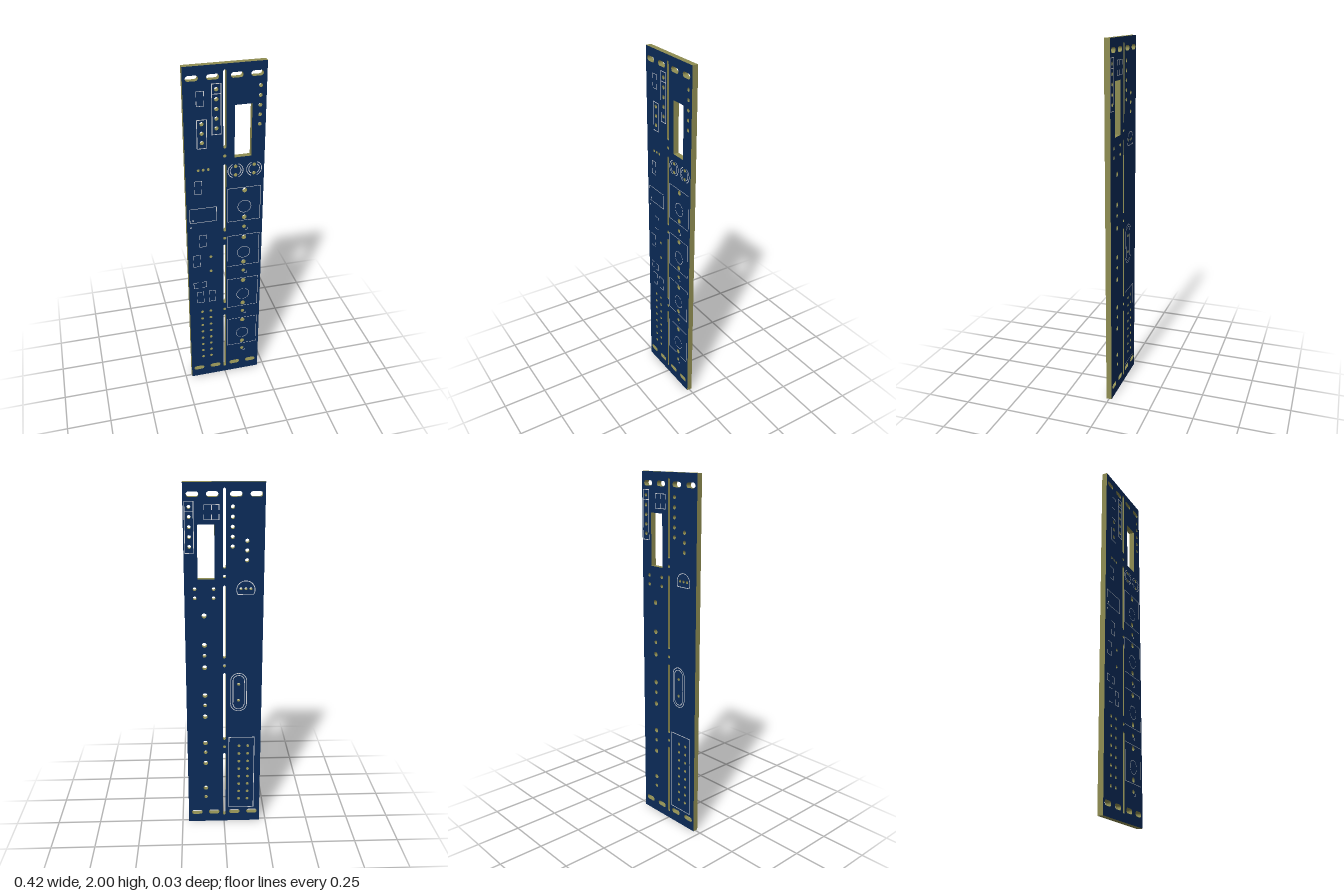
import * as THREE from 'three';
import { mergeGeometries } from 'three/addons/utils/BufferGeometryUtils.js';

const W = 0.424, H = 2, T = 0.031;
const row = (n, start, step) => Array.from({ length: n }, (_, i) => start + i * step);

// Point lists for printed outlines
const rect = (x0, y0, x1, y1) => [[x0, y0], [x1, y0], [x1, y1], [x0, y1], [x0, y0]];
const arc = (x, y, r, a0 = 0, a1 = 360, n = 32) => Array.from({ length: n + 1 }, (_, i) => {
  const a = THREE.MathUtils.degToRad(a0 + (a1 - a0) * i / n);
  return [x + r * Math.cos(a), y + r * Math.sin(a)];
});
const stadium = (x, y, r, half) => [
  ...arc(x, y + half, r, 0, 180, 16), ...arc(x, y - half, r, 180, 360, 16), [x + r, y + half]];

// Board outline with all cutouts
function boardShape() {
  const s = new THREE.Shape(rect(-W / 2, 0, W / 2, H).slice(0, 4).map(p => new THREE.Vector2(...p)));
  const hole = (x, y, r) => s.holes.push(new THREE.Path().absarc(x, y, r, 0, Math.PI * 2, true));
  const slot = (x0, y0, x1, y1, r) => {
    // rounded slot between two end centres
    const a = Math.atan2(y1 - y0, x1 - x0), p = new THREE.Path();
    p.absarc(x1, y1, r, a - Math.PI / 2, a + Math.PI / 2, false);
    p.absarc(x0, y0, r, a + Math.PI / 2, a + Math.PI * 1.5, false);
    p.closePath();
    s.holes.push(p);
  };
  // mounting slots
  for (const y of [0.065, 1.94])
    for (const x of [-0.166, -0.062, 0.06, 0.162]) slot(x - 0.018, y, x + 0.018, y, 0.014);
  // break-away line
  for (const [a, b] of [[0.05, 0.455], [0.558, 0.958], [1.062, 1.458], [1.565, 1.963]])
    slot(-0.002, a, -0.002, b, 0.008);
  for (const y of [0.505, 1.01, 1.515]) hole(-0.002, y, 0.009);
  // display window
  s.holes.push(new THREE.Path(rect(0.05, 1.5, 0.14, 1.787).slice(0, 4).map(p => new THREE.Vector2(...p))));
  // pin headers
  for (const y of row(5, 1.673, 0.051)) { hole(0.181, y, 0.01); hole(-0.045, y, 0.011); }
  for (const y of row(3, 1.601, 0.051)) hole(-0.121, y, 0.011);
  for (const y of row(8, 0.154, 0.0508)) { hole(-0.138, y, 0.009); hole(-0.087, y, 0.009); }
  // transistor, crystal and lamp leads
  for (const x of row(3, -0.143, 0.0265)) hole(x, 1.448, 0.008);
  for (const y of [0.8, 0.898]) hole(-0.082, y, 0.009);
  for (const x of [0.056, 0.157]) for (const y of [1.398, 1.448]) hole(x, y, 0.01);
  // jack pins
  for (const y of row(4, 0.3, 0.3)) {
    hole(0.108, y + 0.1, 0.014); hole(0.108, y - 0.068, 0.014); hole(0.108, y - 0.129, 0.011);
  }
  return s;
}

// Flat printed lines on one face; side is +1 for the front, -1 for the back
function print(name, lines, side, width, material) {
  const parts = [];
  for (const pts of lines) for (let i = 1; i < pts.length; i++) {
    const [x0, y0] = pts[i - 1], [x1, y1] = pts[i];
    const dx = (x1 - x0) * side, dy = y1 - y0, len = Math.hypot(dx, dy);
    if (len < 1e-6) continue;
    parts.push(new THREE.PlaneGeometry(len + width, width).rotateZ(Math.atan2(dy, dx))
      .translate((x0 + x1) / 2 * side, (y0 + y1) / 2, T / 2 + 0.0006));
  }
  const mesh = new THREE.Mesh(mergeGeometries(parts), material);
  mesh.name = name;
  if (side < 0) mesh.rotation.y = Math.PI;
  return mesh;
}

// Two facing brackets around a small surface-mounted part
function chip(x, y, sideways = false) {
  const place = ([u, v]) => sideways ? [x + v, y + u] : [x + u, y + v];
  return [1, -1].map(s =>
    [[-0.019, 0.012], [-0.019, 0.038], [0.019, 0.038], [0.019, 0.012]].map(([u, v]) => place([u, v * s])));
}

export function createModel() {
  const group = new THREE.Group();
  const mask = new THREE.MeshStandardMaterial({ color: 0x0b2b59 });
  const core = new THREE.MeshStandardMaterial({ color: 0x8f8d52 });
  const ink = new THREE.MeshStandardMaterial({ color: 0xd8dade });

  const geo = new THREE.ExtrudeGeometry(boardShape(), { depth: T, bevelEnabled: false, curveSegments: 8 });
  const board = new THREE.Mesh(geo.translate(0, 0, -T / 2), [mask, core]);
  board.name = 'circuitBoard';
  group.add(board);

  // Front printing
  group.add(print('frontHeaderOutlines', [
    rect(-0.068, 1.64, -0.021, 1.905), [[-0.068, 1.853], [-0.021, 1.853]],
    rect(-0.146, 1.57, -0.096, 1.725),
  ], 1, 0.004, ink));

  const lamps = [0.056, 0.157].flatMap(x => [
    arc(x, 1.423, 0.041, -65, 65, 14), arc(x, 1.423, 0.041, 115, 245, 14),
    arc(x, 1.423, 0.029, -55, 55, 10), arc(x, 1.423, 0.029, 125, 235, 10)]);
  group.add(print('lampOutlines', lamps, 1, 0.004, ink));

  const jacks = row(4, 0.3, 0.3).flatMap(y => [
    rect(0.014, y - 0.088, 0.196, y + 0.118), arc(0.108, y, 0.037),
    [[0.115, y - 0.15], [0.127, y - 0.15], [0.127, y - 0.138]]]);
  group.add(print('jackOutlines', jacks, 1, 0.0028, ink));

  group.add(print('frontChipOutlines', [
    ...chip(-0.127, 1.835), ...chip(-0.146, 1.347), ...chip(-0.125, 1.01), ...chip(-0.162, 0.88),
    ...chip(-0.146, 0.71, true), ...chip(-0.146, 0.62), ...chip(-0.077, 0.62),
    rect(-0.195, 1.133, -0.048, 1.22),
    arc(-0.178, 1.148, 0.004, 0, 360, 8), arc(-0.19, 1.105, 0.003, 0, 360, 8),
  ], 1, 0.003, ink));

  // Back printing
  group.add(print('backHeaderOutlines', [
    rect(0.158, 1.64, 0.204, 1.905), [[0.158, 1.853], [0.204, 1.853]],
    rect(-0.175, 0.095, -0.028, 0.565),
  ], -1, 0.004, ink));
  group.add(print('transistorOutline', [
    [...arc(-0.116, 1.442, 0.049, -30, 210, 28), [-0.116 + 0.0424, 1.4175]],
  ], -1, 0.004, ink));
  group.add(print('crystalOutlines', [
    stadium(-0.082, 0.849, 0.045, 0.07), stadium(-0.082, 0.849, 0.032, 0.07),
  ], -1, 0.004, ink));
  group.add(print('backChipOutlines', [...chip(0.085, 1.85), ...chip(0.045, 1.85)], -1, 0.003, ink));

  return group;
}
